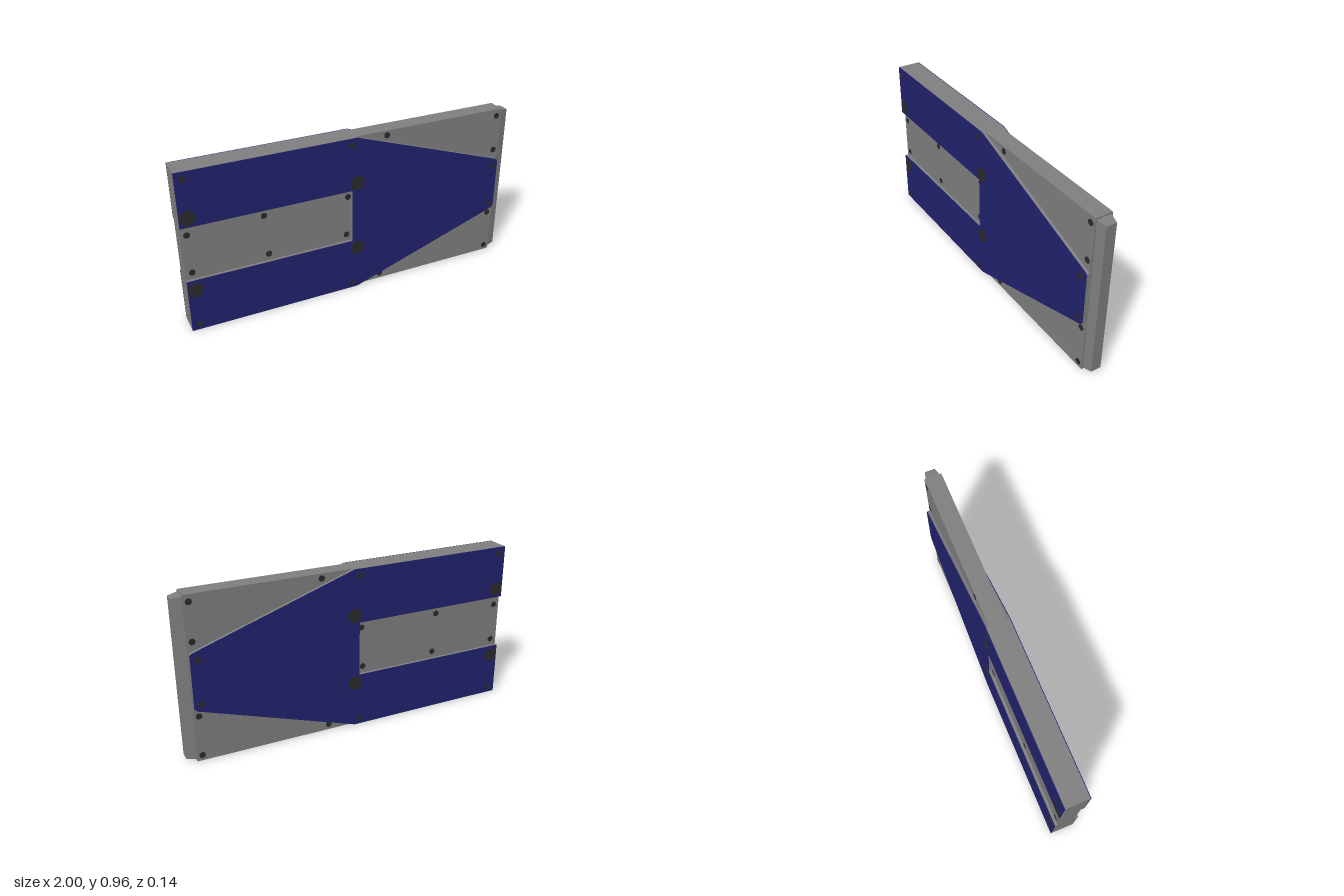
import * as THREE from 'three';

const grey = new THREE.MeshStandardMaterial({ name: 'grey', color: 0x808080 });
const blue = new THREE.MeshStandardMaterial({ name: 'navy blue', color: 0x22226e });
const dark = new THREE.MeshStandardMaterial({ name: 'dark bolt', color: 0x2b2b2b });

const H = 0.96, MID = H / 2, CORE = 0.05, FACE = 0.07, SKIN = 0.004;

// Forked arrow outline shared by the raised plate and its painted face
const outline = [
  [-1, 0], [0, 0], [0.93, 0.315], [0.94, 0.33], [0.94, 0.635], [0.93, 0.645],
  [0, H], [-1, H], [-1, 0.645], [-0.03, 0.645], [-0.03, 0.32], [-1, 0.32],
];

// Bolt positions: x, y, radius, whether on the raised plate
const S = 0.018, L = 0.043;
const bolts = [
  [-0.955, 0.92, S, true], [-0.035, 0.92, S, true], [-0.035, 0.035, S, true], [-0.955, 0.035, S, true],
  [0.9, 0.605, S, true], [0.9, 0.35, S, true],
  [-0.955, 0.7, L, true], [0, 0.69, L, true], [0, 0.273, L, true], [-0.955, 0.26, L, true],
  [0.19, 0.932, S, false], [0.16, 0.033, S, false],
  [0.915, 0.92, S, false], [0.915, 0.703, S, false], [0.915, 0.272, S, false], [0.915, 0.033, S, false],
  [-0.965, 0.592, S, false], [-0.545, 0.604, S, false], [-0.05, 0.604, S, false],
  [-0.06, 0.362, S, false], [-0.53, 0.362, S, false], [-0.96, 0.362, S, false],
];

function add(parent, name, geometry, material, x = 0, y = 0, z = 0) {
  const mesh = new THREE.Mesh(geometry, material);
  mesh.name = name;
  mesh.position.set(x, y, z);
  parent.add(mesh);
  return mesh;
}

function plate(depth) {
  const shape = new THREE.Shape(outline.map(([x, y]) => new THREE.Vector2(x, y)));
  return new THREE.ExtrudeGeometry(shape, { depth, bevelEnabled: false });
}

// Same outline reflected through z, so the back plate keeps outward faces
function buildSide(back) {
  const side = new THREE.Group();
  side.name = back ? 'backSide' : 'frontSide';
  const place = (z0, depth) => (back ? -z0 - depth : z0);
  const base = FACE - SKIN;
  add(side, 'raisedPlate', plate(base - CORE), grey, 0, 0, place(CORE, base - CORE));
  add(side, 'paintedFace', plate(SKIN), blue, 0, 0, place(base, SKIN));
  for (const [x, y, r, raised] of bolts) {
    const head = new THREE.CylinderGeometry(r, r, 0.004, 12).rotateX(Math.PI / 2);
    const z = (raised ? FACE : CORE) + 0.0005;
    add(side, r === L ? 'largeBolt' : 'smallBolt', head, dark, x, y, back ? -z : z);
  }
  return side;
}

export function createModel() {
  const model = new THREE.Group();
  model.name = 'panel';

  // Core slab
  add(model, 'coreSlab', new THREE.BoxGeometry(1.945, H, CORE * 2), grey, -0.0275, MID, 0);

  // Tapered end strip
  const strip = new THREE.BoxGeometry(0.055, 0.94, 0.084);
  const p = strip.attributes.position;
  for (let i = 0; i < p.count; i++) {
    if (p.getX(i) > 0) {
      p.setY(i, Math.sign(p.getY(i)) * 0.46);
      p.setZ(i, Math.sign(p.getZ(i)) * 0.03);
    }
  }
  strip.computeVertexNormals();
  add(model, 'endStrip', strip, grey, 0.9725, MID, 0);

  model.add(buildSide(false), buildSide(true));
  return model;
}
